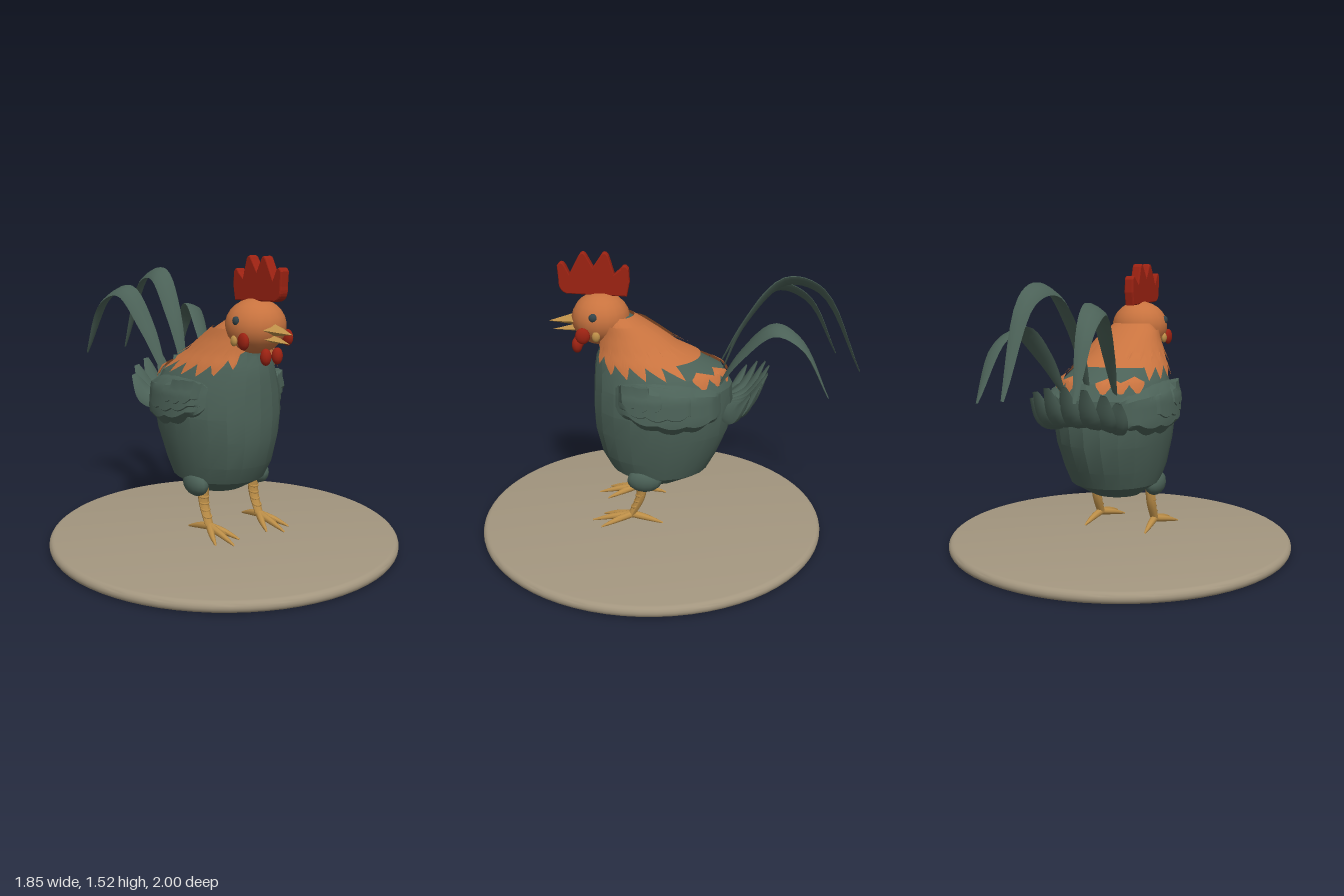
import * as THREE from 'three';
import { toCreasedNormals } from 'three/addons/utils/BufferGeometryUtils.js';

const V = (x, y, z) => new THREE.Vector3(x, y, z);
const lerp = THREE.MathUtils.lerp;
const paint = (name, color, side = THREE.FrontSide) =>
  Object.assign(new THREE.MeshStandardMaterial({ color, side }), { name });

// Surface from a rule: u runs to the right, v runs up, seen from outside
function grid(rule, nu, nv, crease = 0.5) {
  const pos = [], index = [];
  for (let j = 0; j <= nv; j++)
    for (let i = 0; i <= nu; i++) pos.push(...rule(i / nu, j / nv).toArray());
  for (let j = 0; j < nv; j++)
    for (let i = 0; i < nu; i++) {
      const a = j * (nu + 1) + i, c = a + nu + 1;
      index.push(a, a + 1, c + 1, a, c + 1, c);
    }
  const g = new THREE.BufferGeometry();
  g.setAttribute('position', new THREE.Float32BufferAttribute(pos, 3));
  g.setIndex(index);
  return toCreasedNormals(g, crease);
}

// Body sections: height, front z, back z, half width
const SECTIONS = [
  [0.295, 0.04, 0.03, 0.005], [0.297, 0.16, -0.09, 0.13], [0.37, 0.29, -0.23, 0.235],
  [0.46, 0.34, -0.28, 0.265], [0.6, 0.375, -0.34, 0.295], [0.72, 0.38, -0.355, 0.312],
  [0.84, 0.375, -0.35, 0.3], [0.92, 0.37, -0.305, 0.265], [0.98, 0.36, -0.18, 0.23],
  [1.03, 0.34, -0.07, 0.19], [1.1, 0.33, 0.03, 0.15], [1.15, 0.32, 0.11, 0.13], [1.2, 0.3, 0.19, 0.08],
];

// Point on the body at angle a (0 = front, toward +x) and height y, lifted by off
function onBody(a, y, off = 0) {
  let k = 0;
  while (k < SECTIONS.length - 2 && y > SECTIONS[k + 1][0]) k++;
  const A = SECTIONS[k], B = SECTIONS[k + 1], f = (y - A[0]) / (B[0] - A[0]);
  const [, zf, zb, w] = A.map((n, i) => lerp(n, B[i], f));
  return V((w + off) * Math.sin(a), y + (y > 0.88 ? off * 0.6 : 0),
    (zf + zb) / 2 + ((zf - zb) / 2 + off) * Math.cos(a));
}

// Layer lying on the body between two heights; taper sinks its edges
function layer(a0, a1, low, high, off, nu, nv, taper) {
  return grid((u, v) => {
    const a = lerp(a0, a1, u);
    const edge = taper ? Math.min(1, 5 * Math.min(u, 1 - u), 5 * Math.min(v, 1 - v)) : 1;
    return onBody(a, lerp(low(u, a), high(u, a), v), lerp(-0.012, off, edge));
  }, nu, nv);
}

// Sweep an oval along a curve; width direction W, half sizes from size(t) = [wide, thick]
function sweep(points, W, size, sides = 8, steps = 16) {
  const curve = new THREE.CatmullRomCurve3(points.map(p => V(...p)));
  return grid((u, t) => {
    const T = curve.getTangent(t), side = W.clone().addScaledVector(T, -W.dot(T)).normalize();
    const N = T.clone().cross(side), [w, h] = size(t), q = u * Math.PI * 2;
    return curve.getPoint(t).addScaledVector(side, w * Math.cos(q)).addScaledVector(N, h * Math.sin(q));
  }, sides, steps, 0.8);
}

export function createModel() {
  const model = new THREE.Group();
  const green = paint('dark green plumage', 0x4b6157, THREE.DoubleSide);
  const orange = paint('orange plumage', 0xc8733f, THREE.DoubleSide);
  const red = paint('red skin', 0x9c2212);
  const yellow = paint('yellow horn', 0xbd8f48);
  const eyeDark = paint('eye slate', 0x33444a);
  const stone = paint('stone', 0xa3967f);
  const add = (name, geo, mat, parent = model) => {
    const m = new THREE.Mesh(geo, mat);
    m.name = name;
    parent.add(m);
    return m;
  };
  const ball = (name, mat, p, s, seg = 14) => {
    const m = add(name, new THREE.SphereGeometry(1, seg, Math.round(seg * 0.7)), mat);
    m.position.set(...p);
    m.scale.set(...s);
    return m;
  };

  // Round base with a soft rim
  const rim = [V(0, 0, 0)];
  for (let i = 0; i <= 8; i++) {
    const q = -Math.PI / 2 + (i / 8) * Math.PI;
    rim.push(V(0.897 + 0.028 * Math.cos(q), 0.029 + 0.029 * Math.sin(q), 0));
  }
  rim.push(V(0, 0.058, 0));
  add('base', toCreasedNormals(new THREE.LatheGeometry(rim.map(p => new THREE.Vector2(p.x, p.y)), 72), 0.6), stone)
    .position.z = 0.075;

  // Body
  const last = SECTIONS.length - 1;
  add('body', grid((u, v) => onBody(u * Math.PI * 2, SECTIONS[Math.round(v * last)][0]), 22, last, 0.3), green);

  // Neck cape with pointed feather tips, in two layers
  const tooth = (u, n) => Math.abs(((u * n) % 1) * 2 - 1);
  const capeEdge = a => {
    const t = Math.abs(a);
    if (t < 0.9) return lerp(1.09, 0.985, t / 0.9);
    return t < 2 ? 0.98 : lerp(0.98, 0.985, (t - 2) / 1.14);
  };
  add('neckCape', layer(-Math.PI, Math.PI,
    (u, a) => capeEdge(a) - (Math.abs(a) > 0.5 && Math.abs(a) < 2.1 ? 0.06 * tooth(u, 22) : 0),
    () => 1.19, 0.014, 132, 12), orange);
  for (const s of [-1, 1])
    add('neckFeathers', layer(s * 1.6 - 1, s * 1.6 + 1,
      u => 1.05 - 0.06 * tooth(u, 7), () => 1.15, 0.026, 42, 6), orange);

  // Ragged saddle patches on the back, and the wings
  for (const s of [-1, 1]) {
    const from = s > 0 ? 2.1 : -2.95, to = s > 0 ? 2.95 : -2.1;
    add('saddlePatch', layer(from, to,
      u => 0.875 + 0.035 * tooth(u, 3) ** 2, u => 0.945 - 0.025 * tooth(u, 2), 0.014, 36, 5), orange);
    const layers = [[0.8, 2.65, 0.03, 1], [0.86, 2.2, 0.037, 0.75], [0.92, 1.75, 0.043, 0.5]];
    for (const [a0, a1, off, size] of layers) {
      const along = u => (s > 0 ? u : 1 - u);
      const mid = u => 0.85 - 0.05 * along(u) * size + (1 - size) * 0.05;
      const swell = u => size * Math.sqrt(Math.sin(Math.PI * Math.min(1, Math.max(0, u))) + 1e-9);
      add('wing', layer(s > 0 ? a0 : -a1, s > 0 ? a1 : -a0,
        u => mid(u) - 0.165 * swell(u) - 0.018 * Math.abs(Math.sin(5 * Math.PI * u)),
        u => mid(u) + 0.1 * swell(u), off, 40, 10, true), green);
    }
  }

  // Three tall arching tail feathers: path, width direction
  const blade = t => [0.004 + 0.052 * Math.sin(Math.PI * Math.min(1, t * 0.97 + 0.02)) ** 0.8, 0.002 + 0.011 * Math.sin(Math.PI * t)];
  const sickles = [
    [[[0, 0.86, -0.28], [0.01, 1.17, -0.41], [0.035, 1.385, -0.6], [0.045, 1.34, -0.78], [0.04, 0.92, -1]], V(0.8, 0.5, 0)],
    [[[-0.14, 0.86, -0.27], [-0.165, 1.11, -0.41], [-0.2, 1.3, -0.58], [-0.235, 1.23, -0.75], [-0.265, 0.92, -0.92]], V(0.8, 0.45, 0)],
    [[[0.15, 0.86, -0.27], [0.19, 1.05, -0.39], [0.235, 1.19, -0.54], [0.275, 1.13, -0.67], [0.305, 0.87, -0.81]], V(0.8, -0.3, 0)],
  ];
  for (const [path, W] of sickles) add('tallTailFeather', sweep(path, W, blade, 8, 24), green);

  // Short cupped tail fan
  for (let i = -3; i <= 3; i++) {
    const q = i * 0.42, x = Math.sin(q), c = Math.cos(q);
    add('tailFanFeather', sweep(
      [[0.09 * x, 0.72, -0.29], [0.2 * x, 0.73 + 0.02 * c, -0.34 - 0.09 * c], [0.25 * x, 0.82 + 0.11 * c, -0.39 - 0.15 * c]],
      V(c, -0.5 * x, 0.3 * x),
      t => [0.012 + 0.05 * Math.sin(Math.PI * (0.1 + 0.87 * t)), 0.002 + 0.022 * Math.sin(Math.PI * t)]), green);
  }

  // Head, eyes, lobes and wattles
  ball('head', orange, [0, 1.178, 0.332], [0.153, 0.136, 0.15], 18);
  for (const s of [-1, 1]) {
    ball('eye', eyeDark, [s * 0.14, 1.212, 0.355], [0.016, 0.022, 0.022], 12);
    ball('earLobe', yellow, [s * 0.142, 1.115, 0.342], [0.015, 0.027, 0.022], 10);
    ball('cheek', red, [s * 0.138, 1.118, 0.41], [0.02, 0.042, 0.038], 12);
    ball('wattle', red, [s * 0.036, 1.04, 0.455], [0.028, 0.042, 0.028], 12);
  }

  // Beak: two open four-sided points
  const beak = (name, y, z, length, w, h, drop) => {
    const g = new THREE.ConeGeometry(1, 1, 4).toNonIndexed();
    g.rotateX(Math.PI / 2).translate(0, 0, 0.5);
    const p = g.attributes.position;
    for (let i = 0; i < p.count; i++)
      p.setXYZ(i, p.getX(i) * w, y + p.getY(i) * h - drop * p.getZ(i), z + p.getZ(i) * length);
    g.computeVertexNormals();
    add(name, g, yellow);
  };
  beak('upperBeak', 1.172, 0.455, 0.15, 0.07, 0.034, 0.014);
  beak('lowerBeak', 1.127, 0.445, 0.14, 0.055, 0.022, 0.014);

  // Comb with four rounded points, drawn in z and y
  const comb = new THREE.Shape();
  comb.moveTo(0.2, 1.3);
  comb.lineTo(0.5, 1.312);
  comb.quadraticCurveTo(0.54, 1.325, 0.535, 1.38);
  const points = [[0.525, 1.475, 0.485, 1.4], [0.415, 1.525, 0.365, 1.435], [0.305, 1.525, 0.26, 1.4], [0.205, 1.46, 0.187, 1.365]];
  for (const [z, y, vz, vy] of points) {
    comb.lineTo(z + 0.015, y - 0.028);
    comb.quadraticCurveTo(z, y, z - 0.015, y - 0.028);
    comb.lineTo(vz, vy);
  }
  comb.lineTo(0.2, 1.3);
  const combGeo = new THREE.ExtrudeGeometry(comb, {
    depth: 0.034, bevelEnabled: true, bevelSize: 0.006, bevelThickness: 0.009, bevelSegments: 2, curveSegments: 6,
  });
  add('comb', combGeo.translate(0, 0, -0.017).rotateY(-Math.PI / 2), red);

  // Thighs, scaly shanks and four-toed feet
  for (const s of [-1, 1]) {
    const x = s * 0.165;
    ball('thigh', green, [s * 0.2, 0.355, 0.1], [0.05, 0.066, 0.092]);
    add('shank', sweep([[x, 0.34, 0.115], [x, 0.24, 0.125], [x, 0.13, 0.175]], V(1, 0, 0),
      t => [0.032 - 0.009 * t, 0.03 - 0.011 * t]), yellow);
    for (let i = 0; i < 4; i++) {
      const ring = add('shankRing', new THREE.TorusGeometry(0.024 - i * 0.001, 0.006, 6, 12), yellow);
      ring.position.set(x, 0.285 - i * 0.033, 0.121 + i * i * 0.0035);
      ring.rotation.x = Math.PI / 2 + 0.15 + i * 0.07;
    }
    const toes = [[-0.075, 0.33], [0, 0.385], [0.075, 0.33], [0.015, 0.005]];
    for (const [dx, z] of toes)
      add('toe', sweep([[x, 0.135, 0.17], [x + s * dx * 0.55, 0.117, lerp(0.17, z, 0.5)], [x + s * dx, 0.092, z]],
        V(1, 0, 0.1), t => [0.02 - 0.016 * t ** 2, 0.02 - 0.016 * t ** 2], 8, 8), yellow);
  }
  return model;
}
